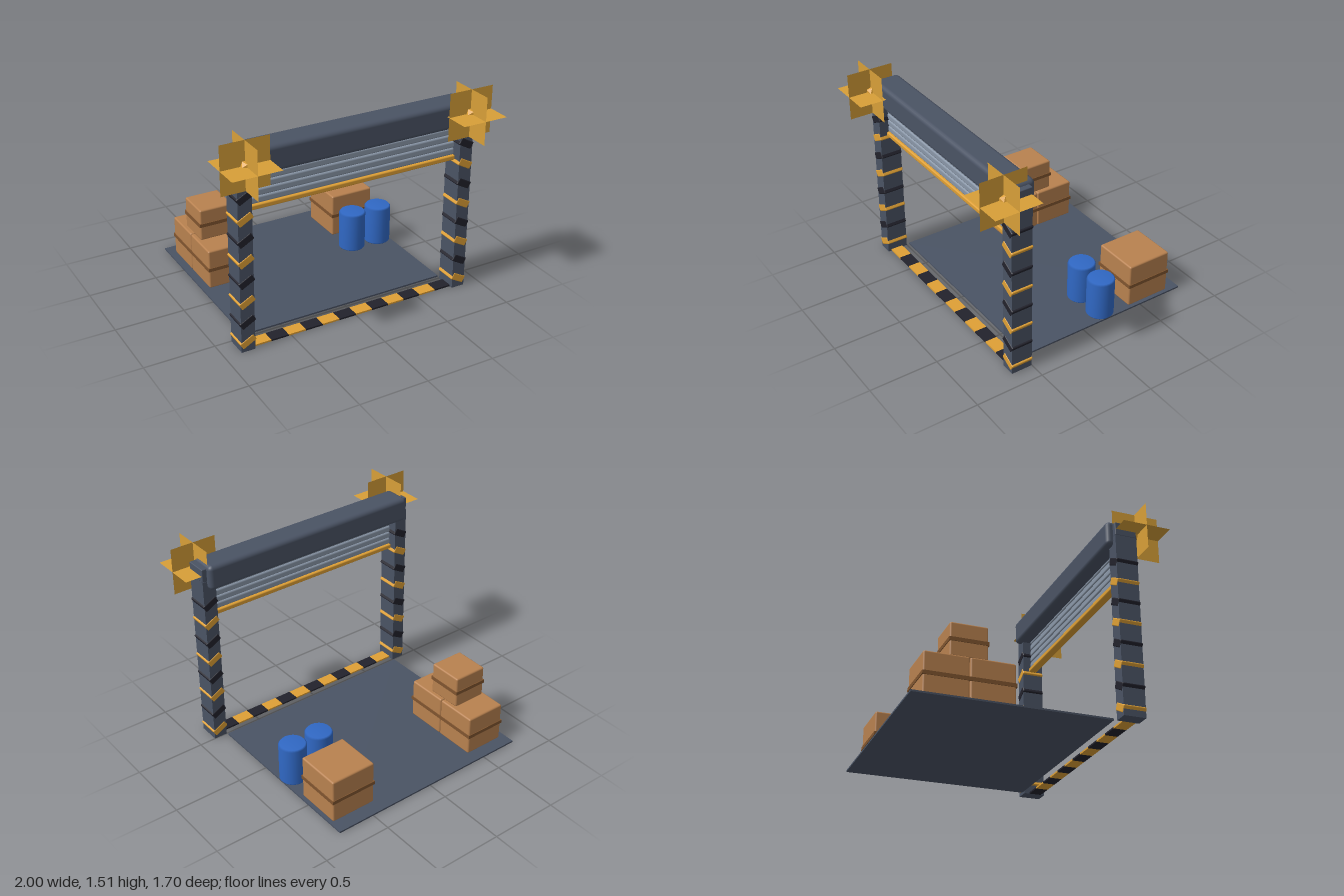
import * as THREE from 'three';
import { RoundedBoxGeometry } from 'three/addons/geometries/RoundedBoxGeometry.js';

const mat = (name, color, side = THREE.FrontSide) => {
  const m = new THREE.MeshStandardMaterial({ color, side });
  m.name = name;
  return m;
};

export function createModel() {
  const steel = mat('slate steel', 0x4a5364);
  const slatGrey = mat('shutter grey', 0x8a97a8);
  const amber = mat('amber', 0xdfa035);
  const glow = mat('beacon amber', 0xd79f38, THREE.DoubleSide);
  const black = mat('hazard black', 0x22222c);
  const card = mat('cardboard', 0xb8814f);
  const tape = mat('packing tape', 0x80552f);
  const blue = mat('barrel blue', 0x3068c4);

  const model = new THREE.Group();
  model.name = 'loadingDock';

  const add = (parent, name, geo, material, x = 0, y = 0, z = 0) => {
    const mesh = new THREE.Mesh(geo, material);
    mesh.name = name;
    mesh.position.set(x, y, z);
    parent.add(mesh);
    return mesh;
  };
  const group = (name, x = 0, y = 0, z = 0) => {
    const g = new THREE.Group();
    g.name = name;
    g.position.set(x, y, z);
    model.add(g);
    return g;
  };
  const box = (w, h, d) => new THREE.BoxGeometry(w, h, d);
  const rounded = (w, h, d, r) => new RoundedBoxGeometry(w, h, d, 2, r);

  // Floor slab
  add(model, 'floor', box(1.56, 0.012, 1.33), steel, 0, 0.006, -0.185);

  // Striped threshold
  const threshold = group('threshold', 0, 0.006, 0.585);
  const count = 12, step = 1.56 / count;
  for (let i = 0; i < count; i++) {
    add(threshold, 'thresholdStripe', box(step, 0.012, 0.09), i % 2 ? black : amber,
      -0.78 + step * (i + 0.5), 0, 0);
  }

  // Posts with tilted hazard bands, and a beacon on each
  for (const s of [-1, 1]) {
    const side = s > 0 ? 'left' : 'right';
    const post = group(side + 'Post', s * 0.83, 0, 0.578);
    add(post, 'postColumn', box(0.1, 1.295, 0.155), steel, 0, 0.6475, 0);
    add(post, 'postCap', rounded(0.1, 0.097, 0.155, 0.006), steel, 0, 1.343, 0);
    for (let i = 0; i < 8; i++) {
      const band = add(post, 'hazardBand', rounded(0.112, 0.054, 0.162, 0.008),
        i % 2 ? black : amber, 0, 0.07 + i * 0.149, 0);
      band.rotation.z = -s * 0.5;
    }

    const beacon = group(side + 'Beacon', s * 0.83, 1.34, 0.677);
    add(beacon, 'beaconLamp', new THREE.IcosahedronGeometry(0.038, 0), amber);
    for (const [rx, ry] of [[0, 0], [0, Math.PI / 2], [-Math.PI / 2, 0]]) {
      add(beacon, 'beaconRay', new THREE.PlaneGeometry(0.34, 0.34), glow).rotation.set(rx, ry, 0);
    }
  }

  // Shutter hood
  add(model, 'shutterHood', rounded(1.69, 0.18, 0.197, 0.03), steel, 0, 1.325, 0.5535);

  // Rolled-down shutter: bowed slats and the bottom bar
  const shutter = group('shutter', 0, 0, 0.575);
  for (let i = 0; i < 5; i++) {
    add(shutter, 'slat', rounded(1.56, 0.05, 0.036, 0.014), slatGrey, 0, 1.043 + i * 0.05, 0);
  }
  add(shutter, 'bottomBar', rounded(1.56, 0.036, 0.06, 0.01), amber, 0, 1.001, 0);

  // Cardboard boxes, each with a band of tape
  const carton = (name, x, y, z, w, h, d) => {
    const g = group(name, x, y, z);
    add(g, 'cartonBody', rounded(w, h, d, 0.012), card, 0, h / 2, 0);
    add(g, 'cartonTape', box(w + 0.01, 0.026, d + 0.01), tape, 0, h * 0.5, 0);
  };
  carton('backCarton', -0.578, 0.012, -0.612, 0.305, 0.294, 0.302);
  carton('frontCarton', -0.578, 0.012, -0.307, 0.305, 0.294, 0.302);
  carton('topCarton', -0.578, 0.306, -0.46, 0.255, 0.235, 0.255);
  carton('largeCarton', 0.588, 0.012, -0.58, 0.34, 0.328, 0.34);

  // Barrels with a bevelled rim
  const profile = [[0, 0], [0.092, 0], [0.098, 0.008], [0.098, 0.282], [0.088, 0.294], [0, 0.294]]
    .map(([r, y]) => new THREE.Vector2(r, y));
  for (const x of [0.47, 0.69]) {
    add(model, 'barrel', new THREE.LatheGeometry(profile, 28), blue, x, 0.012, -0.207);
  }

  return model;
}
